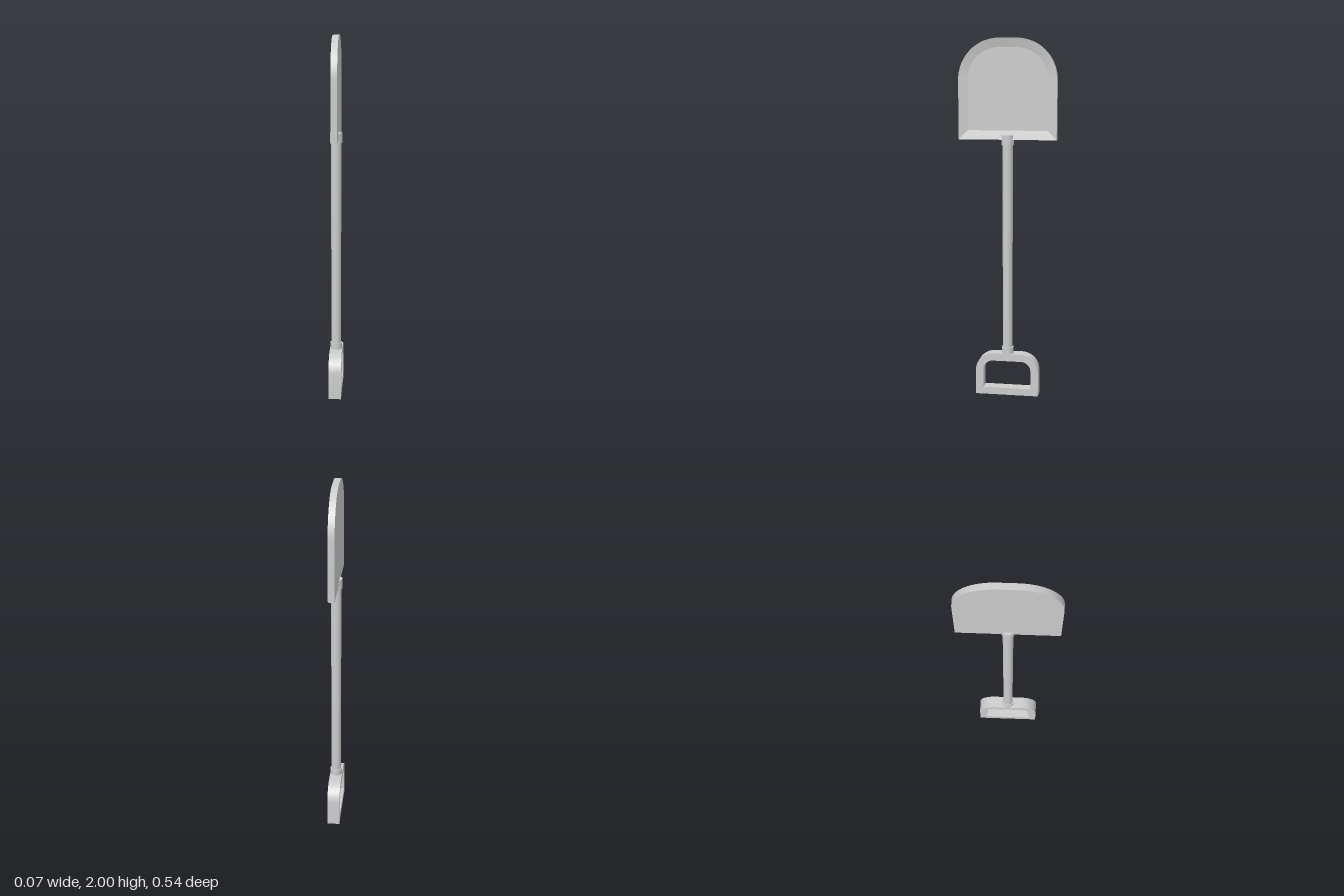
import * as THREE from 'three';
import { toCreasedNormals } from 'three/addons/utils/BufferGeometryUtils.js';

const material = new THREE.MeshStandardMaterial({ color: 0xcccccc });

// Outline in (z, y): square lower corners, rounded upper corners, counter-clockwise
function archPoints(halfWidth, bottom, top, radius, segments = 16) {
  const points = [new THREE.Vector2(-halfWidth, bottom), new THREE.Vector2(halfWidth, bottom)];
  for (const side of [1, -1]) {
    for (let i = 0; i <= segments; i++) {
      const a = (i / segments) * Math.PI / 2 + (side < 0 ? Math.PI / 2 : 0);
      points.push(new THREE.Vector2(
        side * (halfWidth - radius) + radius * Math.cos(a),
        top - radius + radius * Math.sin(a)));
    }
  }
  return points;
}

// Blade: flat on one side, a shallow dish with sloping rim on the other
function bladeGeometry() {
  const t = 0.0175, inset = 0.05, depth = 0.012;
  const outer = archPoints(0.272, 1.45, 2, 0.225);
  const inner = archPoints(0.272 - inset, 1.45 + inset, 2 - inset, 0.225 - inset);
  const rings = [[outer, -t], [outer, t], [inner, t - depth]]
    .map(([pts, x]) => pts.map(p => new THREE.Vector3(x, p.y, p.x)));
  const n = outer.length;
  const tris = [];
  const backCentre = new THREE.Vector3(-t, 1.7, 0);
  const dishCentre = new THREE.Vector3(t - depth, 1.7, 0);
  for (let i = 0; i < n; i++) {
    const j = (i + 1) % n;
    tris.push(backCentre, rings[0][i], rings[0][j]);
    for (let r = 0; r < 2; r++) {
      const a = rings[r], b = rings[r + 1];
      tris.push(a[i], b[i], b[j], a[i], b[j], a[j]);
    }
    tris.push(dishCentre, rings[2][j], rings[2][i]);
  }
  return toCreasedNormals(new THREE.BufferGeometry().setFromPoints(tris), 0.2);
}

// D-shaped grip with an open middle
function gripGeometry() {
  const width = 0.07;
  const shape = new THREE.Shape(archPoints(0.178, 0, 0.24, 0.1));
  shape.holes.push(new THREE.Path(archPoints(0.135, 0.04, 0.198, 0.055)));
  const geometry = new THREE.ExtrudeGeometry(shape, { depth: width, bevelEnabled: false });
  geometry.translate(0, 0, -width / 2).rotateY(-Math.PI / 2);
  return toCreasedNormals(geometry, 0.3);
}

// Upright round part between two heights
function rod(radius, bottom, top) {
  return new THREE.CylinderGeometry(radius, radius, top - bottom, 32)
    .translate(0, (bottom + top) / 2, 0);
}

export function createModel() {
  const model = new THREE.Group();
  model.name = 'shovel';
  const add = (name, geometry) => {
    const mesh = new THREE.Mesh(geometry, material);
    mesh.name = name;
    model.add(mesh);
  };
  add('blade', bladeGeometry());
  add('bladeCollar', rod(0.034, 1.42, 1.475));
  add('shaft', rod(0.028, 0.22, 1.46));
  add('gripCollar', rod(0.034, 0.22, 0.275));
  add('grip', gripGeometry());
  return model;
}
